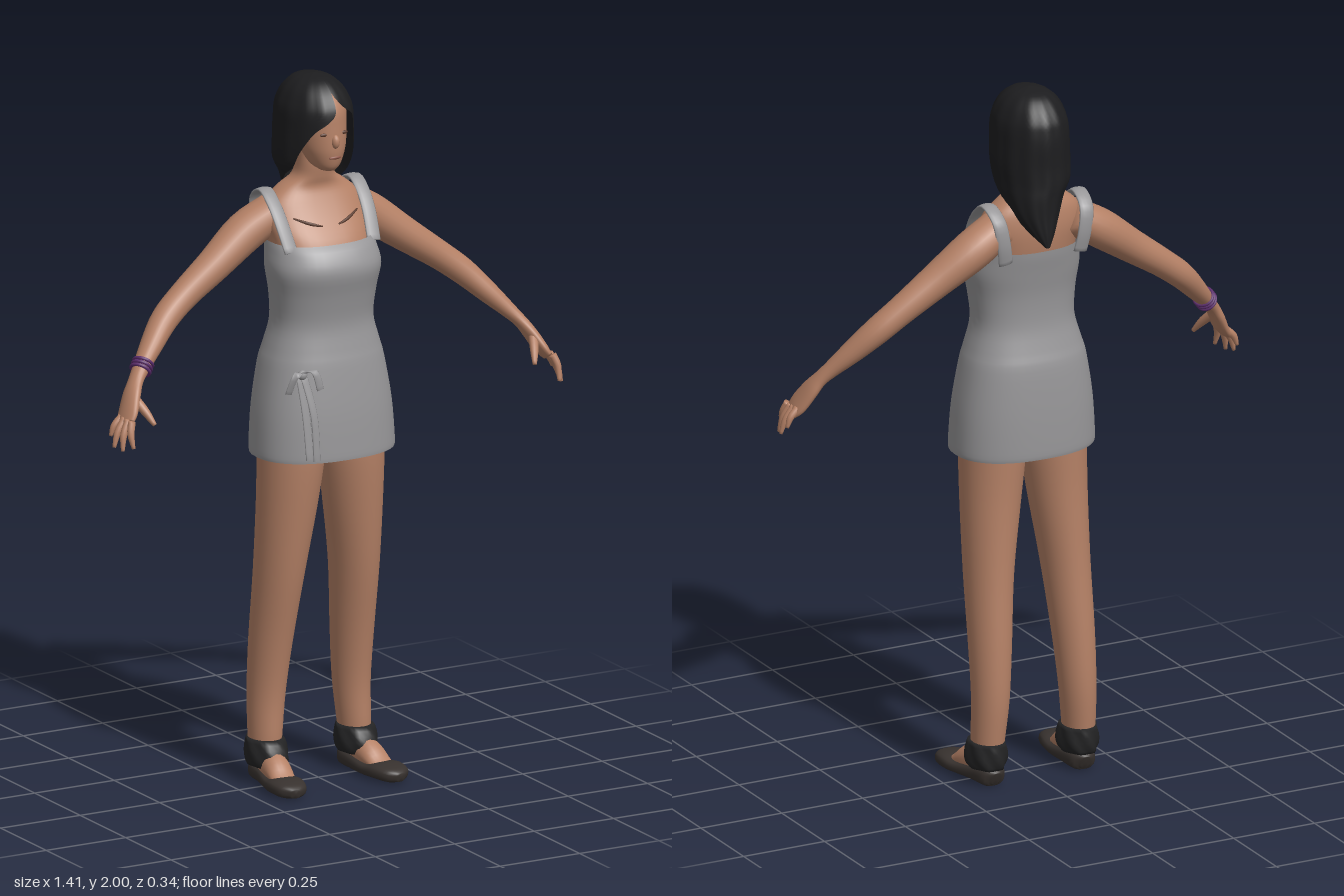
import * as THREE from 'three';

const paint = (name, color, side = THREE.FrontSide) => {
  const m = new THREE.MeshStandardMaterial({ color, side });
  m.name = name;
  return m;
};
const skin = paint('skin', 0xb58166);
const cloth = paint('grey cloth', 0x979698, THREE.DoubleSide);
const hairBlack = paint('black hair', 0x1d1d1f, THREE.DoubleSide);
const cuffBlack = paint('black cuff', 0x242425);
const shoeBrown = paint('dark shoe', 0x38322f);
const purple = paint('purple', 0x5b2d6c);
const brown = paint('dark brown', 0x5c3c2e);
const lip = paint('lip', 0x8d5546);

const V = (x, y, z) => new THREE.Vector3(x, y, z);
const pow = (v, p) => Math.sign(v) * Math.abs(v) ** p;

// Catmull-Rom interpolation of every column of a table of sections
function smooth(rows, steps) {
  const out = [], n = rows.length, at = i => rows[Math.max(0, Math.min(n - 1, i))];
  for (let i = 0; i < n - 1; i++) {
    for (let s = 0; s < steps; s++) {
      const t = s / steps, [a, b, c, d] = [at(i - 1), at(i), at(i + 1), at(i + 2)];
      out.push(b.map((_, k) => 0.5 * (2 * b[k] + (c[k] - a[k]) * t
        + (2 * a[k] - 5 * b[k] + 4 * c[k] - d[k]) * t * t
        + (3 * b[k] - a[k] - 3 * c[k] + d[k]) * t ** 3)));
    }
  }
  out.push(rows[n - 1]);
  return out;
}

// Surface through equal rings of points
function surface(rings, wrap, capped) {
  const pos = [], idx = [], n = rings[0].length, m = rings.length;
  rings.forEach(r => r.forEach(p => pos.push(p.x, p.y, p.z)));
  for (let i = 0; i < m - 1; i++) {
    for (let j = 0; j < (wrap ? n : n - 1); j++) {
      const k = (j + 1) % n, a = i * n + j, b = i * n + k;
      idx.push(a, b, a + n, b, b + n, a + n);
    }
  }
  if (capped) {
    [0, m - 1].forEach(i => {
      const c = V(0, 0, 0);
      rings[i].forEach(p => c.addScaledVector(p, 1 / n));
      const ci = pos.length / 3;
      pos.push(c.x, c.y, c.z);
      for (let j = 0; j < n; j++) {
        const a = i * n + j, b = i * n + (j + 1) % n;
        if (i === 0) idx.push(ci, b, a); else idx.push(ci, a, b);
      }
    });
  }
  const g = new THREE.BufferGeometry();
  g.setAttribute('position', new THREE.Float32BufferAttribute(pos, 3));
  g.setIndex(idx);
  g.computeVertexNormals();
  return g;
}

// Loft along rows of [x, y, z, radiusA, radiusB]; ref is the direction of radiusA
function loft(rows, { ref = V(1, 0, 0), axis = null, sides = 20, steps = 4, p = 1, capped = true, ripple = 0 } = {}) {
  const s = smooth(rows, steps), c = s.map(r => V(r[0], r[1], r[2]));
  const rings = s.map((r, i) => {
    const T = axis || c[Math.min(i + 1, c.length - 1)].clone().sub(c[Math.max(i - 1, 0)]).normalize();
    const A = ref.clone().addScaledVector(T, -ref.dot(T)).normalize();
    const B = T.clone().cross(A);
    return Array.from({ length: sides }, (_, j) => {
      const th = j / sides * Math.PI * 2, k = 1 + ripple * Math.sin(th * 7 + i);
      return c[i].clone().addScaledVector(A, k * r[3] * pow(Math.cos(th), p))
        .addScaledVector(B, k * r[4] * pow(Math.sin(th), p));
    });
  });
  return surface(rings, true, capped);
}

// Rows of [y, halfWidth, zFront, zBack] stacked upwards
const UP = V(0, 1, 0);
const stack = (rows, opt) => loft(rows.map(([y, w, f, b]) => [0, y, (f + b) / 2, w, (f - b) / 2]), { axis: UP, sides: 40, ...opt });

// Front depth of a stacked form at x, y
function frontZ(rows, x, y, p) {
  const i = Math.max(1, rows.findIndex(r => r[0] >= y));
  const t = (y - rows[i - 1][0]) / (rows[i][0] - rows[i - 1][0]);
  const [, w, f, b] = rows[i].map((v, k) => THREE.MathUtils.lerp(rows[i - 1][k], v, t));
  const c = Math.min(1, Math.abs(x) / w) ** (1 / p);
  return (f + b) / 2 + (f - b) / 2 * Math.sqrt(1 - c * c) ** p;
}

const TORSO = [[0.98, 0.17, 0.125, -0.10], [1.2, 0.155, 0.115, -0.1], [1.32, 0.13, 0.1, -0.078],
  [1.46, 0.142, 0.122, -0.09], [1.54, 0.143, 0.102, -0.105], [1.6, 0.15, 0.06, -0.11], [1.65, 0.138, 0.03, -0.105],
  [1.685, 0.1, 0.015, -0.095], [1.715, 0.06, 0.02, -0.08], [1.76, 0.051, 0.025, -0.07], [1.84, 0.05, 0.02, -0.07]];
const DRESS = [[0.945, 0.205, 0.167, -0.13], [0.97, 0.206, 0.167, -0.132], [1.08, 0.198, 0.16, -0.13],
  [1.2, 0.178, 0.145, -0.122], [1.25, 0.164, 0.135, -0.11], [1.32, 0.146, 0.125, -0.095], [1.4, 0.151, 0.137, -0.095],
  [1.47, 0.162, 0.152, -0.105], [1.52, 0.155, 0.135, -0.114], [1.545, 0.15, 0.113, -0.117]];
const HEAD = [[1.745, 0.022, 0.075, 0.02], [1.76, 0.04, 0.086, -0.02], [1.79, 0.055, 0.094, -0.05], [1.82, 0.064, 0.096, -0.07],
  [1.87, 0.07, 0.094, -0.09], [1.92, 0.07, 0.088, -0.1], [1.96, 0.055, 0.06, -0.09], [1.985, 0.02, 0.01, -0.05]];
// Hair rows: y, x, halfWidth, zFront, zBack, opening angle on the right and on the left
const HAIR = [[2.0, 0, 0.001, -0.025, -0.027, 0, 0], [1.99, 0, 0.045, 0.03, -0.09, 0, 0], [1.965, 0, 0.075, 0.068, -0.125, 0, 0],
  [1.93, 0, 0.093, 0.094, -0.15, 0, 0.25], [1.9, 0, 0.1, 0.103, -0.158, 0.1, 0.65], [1.86, 0, 0.102, 0.105, -0.162, 0.6, 0.85],
  [1.8, 0, 0.104, 0.1, -0.162, 0.95, 1], [1.75, 0, 0.1, 0.09, -0.165, 1.15, 1.1], [1.71, 0.01, 0.085, 0.06, -0.166, 1.6, 1.2],
  [1.66, 0.015, 0.065, 0, -0.167, 1.9, 1.4], [1.61, 0.015, 0.035, -0.08, -0.17, 1.9, 1.6], [1.575, 0.015, 0.008, -0.15, -0.17, 2, 2]];

function hairGeometry() {
  const n = 56;
  const rings = smooth(HAIR, 4).map(([y, x, w, f, b, gr, gl]) => Array.from({ length: n + 1 }, (_, j) => {
    const start = Math.max(0, gl), end = Math.PI * 2 - Math.max(0, gr);
    const th = start + (end - start) * j / n, k = 1 + 0.012 * Math.sin(th * 13);
    return V(x + w * k * Math.sin(th), y, (f + b) / 2 + (f - b) / 2 * k * Math.cos(th));
  }));
  return surface(rings, false, false);
}

export function createModel() {
  const model = new THREE.Group();
  model.name = 'woman';
  const add = (name, geometry, material) => {
    const m = new THREE.Mesh(geometry, material);
    m.name = name;
    model.add(m);
    return m;
  };
  const blob = (name, x, y, z, sx, sy, sz, mat) => {
    const m = add(name, new THREE.SphereGeometry(1, 16, 10), mat);
    m.position.set(x, y, z);
    m.scale.set(sx, sy, sz);
  };

  add('torso', stack(TORSO, { p: 0.85 }), skin);
  add('dress', stack(DRESS, { p: 0.85, capped: false }), cloth);
  add('head', stack(HEAD), skin);
  add('hair', hairGeometry(), hairBlack);
  blob('nose', 0, 1.832, 0.093, 0.012, 0.02, 0.014, skin);
  blob('mouth', 0, 1.786, 0.091, 0.019, 0.005, 0.005, lip);

  for (const s of [1, -1]) {
    const side = s > 0 ? 'left' : 'right';
    const limb = (name, rows, mat, opt) => add(side + name, loft(rows.map(([x, ...r]) => [x * s, ...r]), opt), mat);

    // Face and collarbone marks
    blob(side + 'Eye', 0.029 * s, 1.853, frontZ(HEAD, 0.029, 1.853, 1) - 0.001, 0.015, 0.005, 0.004, brown);
    limb('Collarbone', [[0.025, 1.588], [0.06, 1.597], [0.1, 1.613]].map(([x, y], i) =>
      [x, y, frontZ(TORSO, x, y, 0.85), 0.004, i === 1 ? 0.005 : 0.002]), brown, { ref: V(0, 0, 1), sides: 8 });

    // Shoulder strap
    limb('Strap', [[0.13, 1.53, 0.078], [0.137, 1.6, 0.04], [0.14, 1.65, 0], [0.14, 1.681, -0.05],
      [0.135, 1.65, -0.106], [0.125, 1.585, -0.117], [0.115, 1.525, -0.108]].map(r => [...r, 0.021, 0.006]), cloth, { sides: 12 });

    // Arm and palm
    limb('Arm', [[0.11, 1.615, -0.055, 0.06, 0.05], [0.195, 1.565, -0.063, 0.06, 0.055], [0.3, 1.49, -0.05, 0.05, 0.047],
      [0.4, 1.42, -0.04, 0.042, 0.04], [0.47, 1.365, -0.025, 0.04, 0.037], [0.53, 1.305, 0.005, 0.034, 0.03],
      [0.578, 1.255, 0.033, 0.026, 0.022], [0.605, 1.225, 0.05, 0.026, 0.018], [0.625, 1.195, 0.065, 0.034, 0.018],
      [0.65, 1.15, 0.088, 0.04, 0.016], [0.665, 1.128, 0.1, 0.034, 0.011]], skin, { ref: V(0, 0, 1) });
    [[0.695, 1.09, 0.072], [0.7, 1.065, 0.1], [0.69, 1.06, 0.13], [0.67, 1.07, 0.155]].forEach(([x, y, z], i) => {
      const b = [0.662, 1.14, 0.074 + 0.019 * i];
      limb('Finger' + (i + 1), [[...b, 0.011, 0.011],
        [(b[0] + x) / 2 + 0.006, (b[1] + y) / 2 + 0.003, (b[2] + z) / 2, 0.01, 0.01], [x, y, z, 0.005, 0.005]],
      skin, { ref: V(0, 0, 1), sides: 10 });
    });
    limb('Thumb', [[0.63, 1.195, 0.078, 0.014, 0.014], [0.612, 1.158, 0.118, 0.012, 0.012], [0.598, 1.125, 0.145, 0.006, 0.006]],
      skin, { ref: V(0, 0, 1), sides: 10 });

    // Leg, foot, shoe and ankle cuff
    limb('Leg', [[0.142, 0.06, -0.048, 0.04, 0.047], [0.14, 0.13, -0.05, 0.045, 0.055], [0.134, 0.25, -0.054, 0.051, 0.061],
      [0.128, 0.4, -0.04, 0.058, 0.07], [0.118, 0.6, -0.012, 0.067, 0.083], [0.103, 0.8, 0.006, 0.082, 0.094],
      [0.094, 0.94, 0.012, 0.091, 0.102], [0.095, 1.02, 0.01, 0.088, 0.1]], skin, { axis: UP, sides: 28 });
    limb('Foot', [[0.14, 0.05, -0.08, 0.025, 0.03], [0.142, 0.06, -0.03, 0.034, 0.05], [0.148, 0.05, 0.03, 0.038, 0.038],
      [0.153, 0.036, 0.07, 0.036, 0.02], [0.157, 0.026, 0.1, 0.03, 0.01]], skin);
    limb('Shoe', [[0.138, 0.024, -0.097, 0.012, 0.02], [0.139, 0.028, -0.08, 0.036, 0.028], [0.142, 0.025, -0.02, 0.042, 0.025],
      [0.15, 0.02, 0.05, 0.05, 0.02], [0.158, 0.023, 0.1, 0.052, 0.023], [0.163, 0.02, 0.145, 0.04, 0.02],
      [0.166, 0.016, 0.166, 0.012, 0.012]], shoeBrown, { p: 0.75, sides: 24 });
    limb('AnkleCuff', [[0.142, 0.05, -0.04, 0.048, 0.066], [0.141, 0.07, -0.038, 0.055, 0.074], [0.141, 0.1, -0.042, 0.054, 0.07],
      [0.141, 0.125, -0.047, 0.048, 0.062]], cuffBlack, { axis: UP, sides: 28, steps: 2, ripple: 0.04 });
  }

  // Bracelet bands on the right wrist
  const dir = V(-0.6, -0.68, 0.4).normalize();
  [-0.012, 0, 0.012].forEach((d, i) => {
    const band = add('bracelet' + (i + 1), new THREE.TorusGeometry(0.027, 0.005, 8, 24), purple);
    band.position.set(-0.573, 1.26, 0.03).addScaledVector(dir, d);
    band.quaternion.setFromUnitVectors(V(0, 0, 1), dir.clone().add(V(0, 0.06 * (i - 1), 0)).normalize());
  });

  // Tied ribbon on the right hip
  const ribbon = (name, pts, w) => add(name, loft(pts.map(q => [...q, w, 0.003]), { sides: 10 }), cloth);
  ribbon('bowTailOuter', [[-0.13, 1.19, 0.125], [-0.122, 1.08, 0.146], [-0.118, 0.96, 0.16]], 0.012);
  ribbon('bowTailInner', [[-0.12, 1.19, 0.13], [-0.103, 1.08, 0.157], [-0.1, 0.955, 0.167]], 0.011);
  ribbon('bowLoopOuter', [[-0.125, 1.2, 0.128], [-0.152, 1.195, 0.138], [-0.166, 1.145, 0.125]], 0.011);
  ribbon('bowLoopInner', [[-0.125, 1.2, 0.13], [-0.1, 1.205, 0.155], [-0.085, 1.155, 0.16]], 0.011);
  blob('bowKnot', -0.125, 1.195, 0.13, 0.014, 0.014, 0.012, cloth);
  return model;
}
